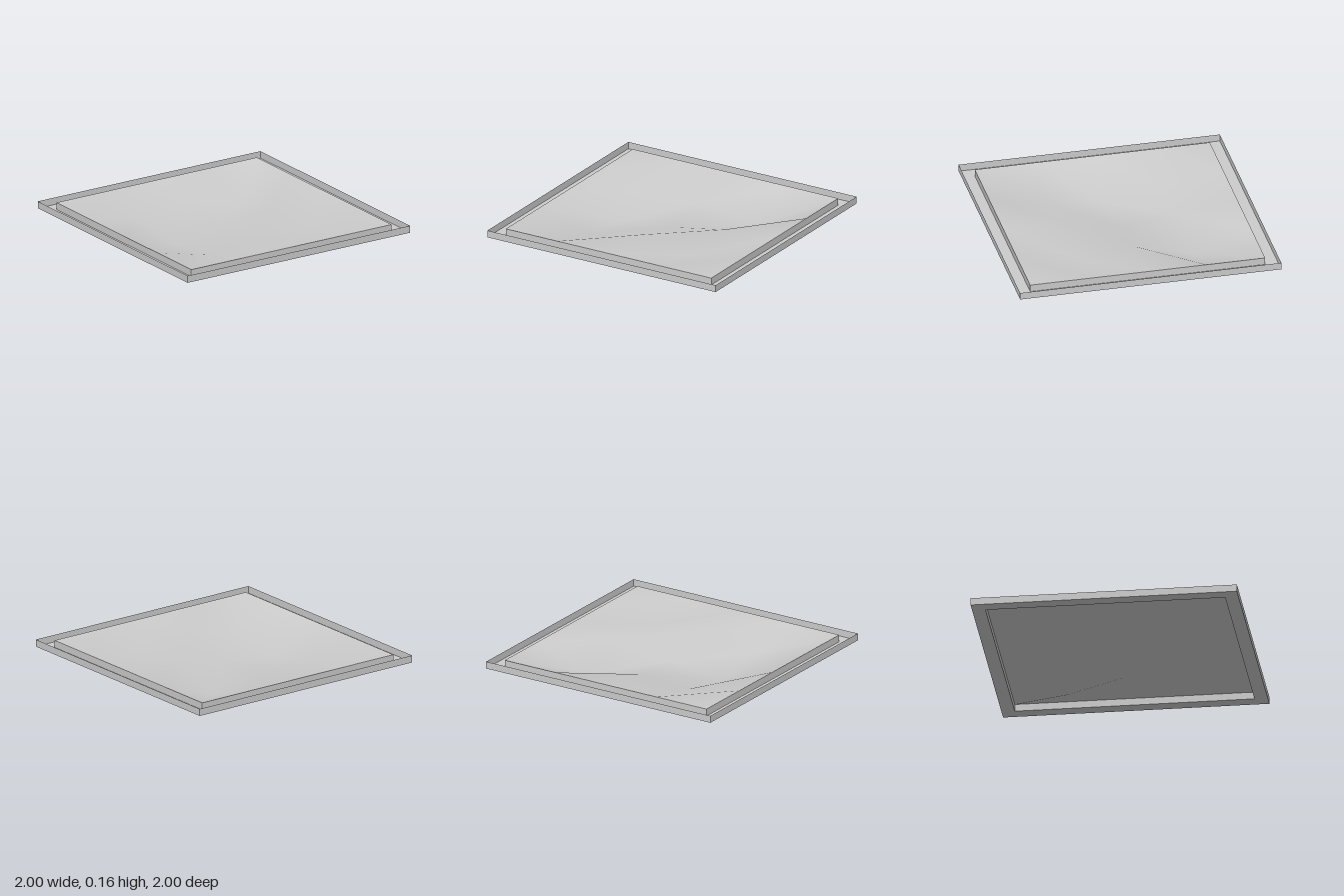
import * as THREE from 'three';

const BASE = 0.1, TOP = 0.155, OUTER = 1, INNER = 0.9;

export function createModel() {
  const model = new THREE.Group();
  const material = new THREE.MeshStandardMaterial({ color: 0xcccccc, side: THREE.DoubleSide });
  const flat = material.clone();
  flat.flatShading = true;

  const add = (name, geometry, mat, parent) => {
    const mesh = new THREE.Mesh(geometry, mat);
    mesh.name = name;
    parent.add(mesh);
    return mesh;
  };

  // Frame: an open-topped square channel
  const frame = new THREE.Group();
  frame.name = 'frame';
  model.add(frame);

  const squareWall = (half) => {
    const r = half * Math.SQRT2;
    return new THREE.CylinderGeometry(r, r, TOP - BASE, 4, 1, true)
      .rotateY(Math.PI / 4)
      .translate(0, (TOP + BASE) / 2, 0);
  };
  add('outerWall', squareWall(OUTER), flat, frame);
  add('innerWall', squareWall(INNER), flat, frame);

  // Channel floor
  const square = (h) => [[-h, -h], [h, -h], [h, h], [-h, h]].map(([x, y]) => new THREE.Vector2(x, y));
  const floor = new THREE.Shape(square(OUTER));
  floor.holes.push(new THREE.Path(square(INNER)));
  add('frameFloor', new THREE.ShapeGeometry(floor).rotateX(-Math.PI / 2).translate(0, BASE, 0), flat, frame);

  // Sagging ground sheet: level rim, uneven inner points (rows run back to front)
  const heights = [
    [0.07, 0.09, 0],
    [0, 0.045, 0.125],
    [0.05, 0.145, 0.085],
  ];
  const ground = new THREE.PlaneGeometry(INNER * 2, INNER * 2, 4, 4).rotateX(-Math.PI / 2);
  const pos = ground.attributes.position;
  for (let i = 0; i < pos.count; i++) {
    const row = Math.floor(i / 5) - 1, col = (i % 5) - 1;
    pos.setY(i, heights[row]?.[col] ?? TOP);
  }
  ground.computeVertexNormals();
  add('ground', ground, material, model);

  return model;
}
